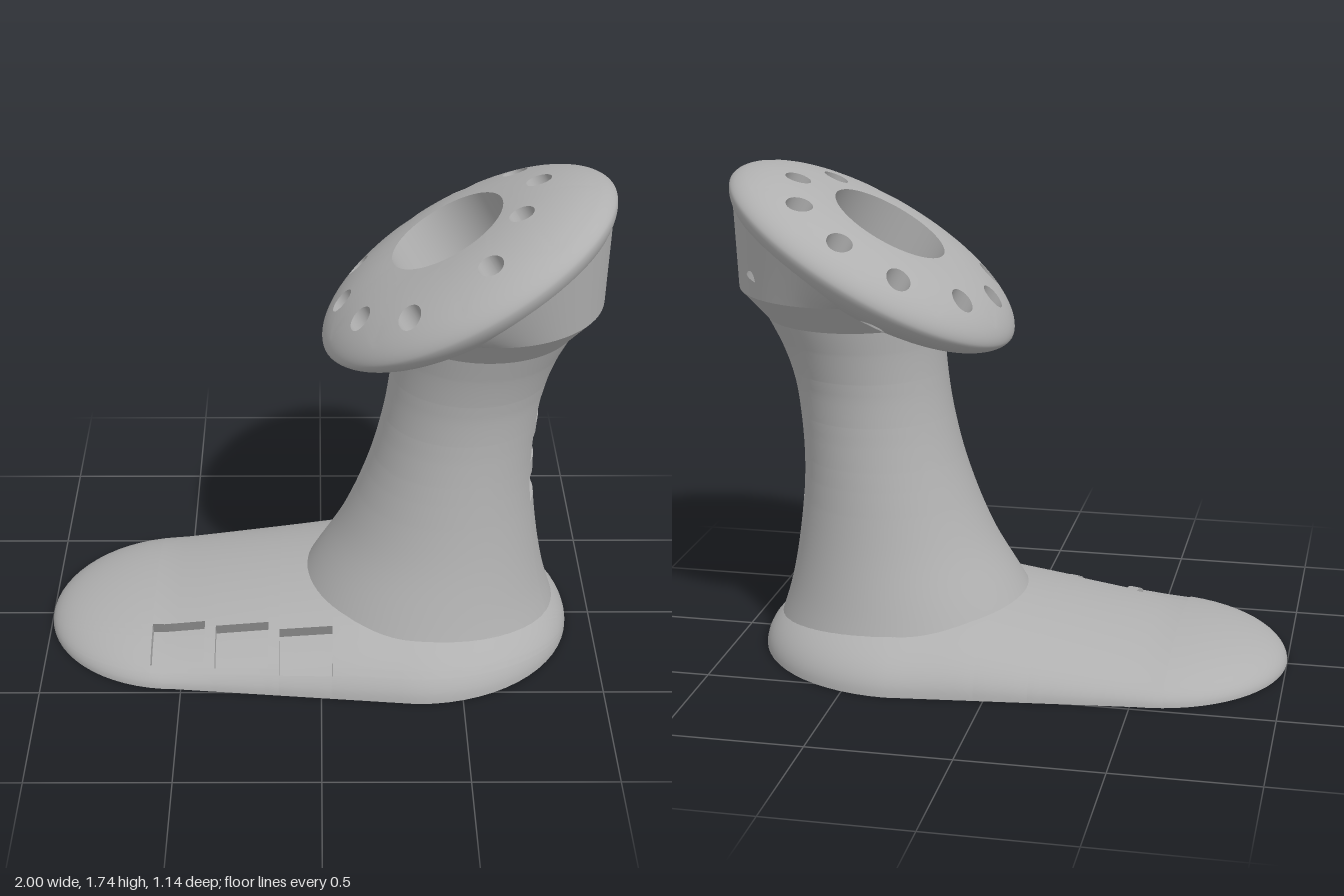
import * as THREE from 'three';
import { mergeVertices } from 'three/addons/utils/BufferGeometryUtils.js';

const grey = new THREE.MeshStandardMaterial({ color: 0xb0b0b0, side: THREE.DoubleSide });
grey.name = 'plain grey';

const steps = (a, b, n) => Array.from({ length: n + 1 }, (_, i) => a + (b - a) * i / n);
const sorted = list => list.sort((a, b) => a - b).filter((v, i, l) => !i || v - l[i - 1] > 1e-4);
const TAU = Math.PI * 2;

// One smooth mesh from grids of points; skip(grid, i, j) leaves cells open
function skin(name, grids, skip = () => false) {
  const pos = [], index = [];
  for (const rows of grids) {
    const base = pos.length / 3, m = rows[0].length;
    rows.forEach(r => r.forEach(p => pos.push(p[0], p[1], p[2])));
    for (let i = 0; i < rows.length - 1; i++) for (let j = 0; j < m - 1; j++) {
      if (skip(i, j)) continue;
      const a = base + i * m + j, b = a + 1, d = a + m, c = d + 1;
      index.push(a, b, c, a, c, d);
    }
  }
  let geo = new THREE.BufferGeometry();
  geo.setAttribute('position', new THREE.Float32BufferAttribute(pos, 3));
  geo.setIndex(index);
  geo = mergeVertices(geo, 1e-4);
  geo.computeVertexNormals();
  const mesh = new THREE.Mesh(geo, grey);
  mesh.name = name;
  return mesh;
}

// Surface S(u, v) with rectangular pockets [u0, u1, v0, v1] sunk along a direction
function pocketed(name, S, us, vs, pockets, sink) {
  const g = new THREE.Group();
  g.name = name;
  us = sorted([...us, ...pockets.flatMap(p => [p[0], p[1]])]);
  vs = sorted([...vs, ...pockets.flatMap(p => [p[2], p[3]])]);
  const inside = (u, v) => pockets.some(p => u > p[0] && u < p[1] && v > p[2] && v < p[3]);
  g.add(skin(name + 'Skin', [us.map(u => vs.map(v => S(u, v)))],
    (i, j) => inside((us[i] + us[i + 1]) / 2, (vs[j] + vs[j + 1]) / 2)));
  for (const [u0, u1, v0, v1] of pockets) {
    const pu = us.filter(u => u > u0 - 1e-3 && u < u1 + 1e-3);
    const pv = vs.filter(v => v > v0 - 1e-3 && v < v1 + 1e-3);
    const low = p => p.map((c, k) => c + sink[k]);
    g.add(skin('pocketFloor', [pu.map(u => pv.map(v => low(S(u, v))))]));
    const edges = [pu.map(u => S(u, v0)), pv.map(v => S(u1, v)),
      pu.map(u => S(u, v1)).reverse(), pv.map(v => S(u0, v)).reverse()];
    for (const e of edges) g.add(skin('pocketWall', [e.map(p => [p, low(p)])]));
  }
  return g;
}

// Base: long dome between two round ends
function makeBase() {
  const A = -0.52, B = 0.34, ra = 0.48, rb = 0.57;
  const end = x => x < A ? (x - A) / ra : x > B ? (x - B) / rb : 0;
  const round = x => Math.sqrt(Math.max(0, 1 - end(x) ** 2));
  const width = x => round(x) * THREE.MathUtils.lerp(ra, rb, THREE.MathUtils.clamp((x - A) / (B - A), 0, 1));
  const crest = x => round(x) * THREE.MathUtils.clamp(0.227 + 0.157 * x, 0.14, 0.245);
  const S = (x, f) => [x, crest(x) * Math.cos(f), width(x) * Math.sin(f)];
  const xs = [...steps(0, Math.PI / 2, 16).map(t => A - ra * Math.cos(t)), ...steps(A, B, 14),
    ...steps(0, Math.PI / 2, 16).map(t => B + rb * Math.sin(t))];
  const pockets = [[-0.61, -0.42, 0.25, 0.43], [-0.38, -0.19, 0.29, 0.46], [-0.15, 0.04, 0.34, 0.5]]
    .map(([x0, x1, z0, z1]) => {
      const w = width((x0 + x1) / 2);
      return [x0, x1, Math.asin(z0 / w), Math.asin(z1 / w)];
    });
  const g = pocketed('base', S, xs, steps(-Math.PI / 2, Math.PI / 2, 36), pockets, [0, -0.055, -0.03]);
  const xl = sorted([...xs]);
  g.add(skin('baseUnderside', [xl.map(x => [[x, 0, width(x)], [x, 0, -width(x)]])]));
  return g;
}

// Neck: leaning waisted column, rows of height, left x, right x, half depth
function makeNeck() {
  const rows = [[0.06, -0.14, 0.87, 0.46], [0.22, -0.05, 0.82, 0.405], [0.42, 0.07, 0.782, 0.345],
    [0.67, 0.17, 0.76, 0.298], [0.87, 0.22, 0.77, 0.276], [1, 0.24, 0.79, 0.277],
    [1.12, 0.25, 0.83, 0.295], [1.22, 0.25, 0.88, 0.32]];
  const curve = new THREE.CubicInterpolant(rows.map(r => r[0]), rows.flatMap(r => r.slice(1)), 3);
  const S = (t, y) => {
    const [l, r, d] = curve.evaluate(y);
    return [(l + r) / 2 + (r - l) / 2 * Math.cos(t), y, d * Math.sin(t)];
  };
  const pockets = [0.55, 0.71, 0.87, 1.03].map(y => [-0.34, 0.34, y, y + 0.1]);
  return pocketed('neck', S, steps(-0.34, TAU - 0.34, 72), steps(0.06, 1.22, 30), pockets, [-0.08, 0, 0]);
}

// Head: tilted rounded disc with a ring of bored holes and a central well
function makeHead() {
  const g = new THREE.Group();
  g.name = 'headDisc';
  const R = 0.568, K = 0.51 / R, FLAT = 0.2, EDGE = 0.53, WELL = 0.215;
  const h = (u, z) => {
    const t = THREE.MathUtils.clamp((Math.hypot(u, z / K) - FLAT) / (R - FLAT), 0, 1);
    return 0.14 * (1 - t * t) ** 0.58;
  };
  const inner = t => [WELL * Math.cos(t), -0.03 + WELL * Math.sin(t)];
  const outer = t => [EDGE * Math.cos(t), EDGE * K * Math.sin(t)];
  const mix = (t, s) => inner(t).map((c, k) => c + (outer(t)[k] - c) * s);
  const lift = side => ([u, z]) => [u, side * h(u, z), z];
  const holes = [[0.268, 0.125], [0.124, 0.34], [-0.188, 0.37], [-0.367, 0.21], [-0.436, 0],
    [-0.367, -0.22], [-0.159, -0.38], [0.072, -0.39], [0.268, -0.29], [0.349, -0.09]];
  const angle = holes.map(([u, z]) => (Math.atan2(z / K, u) + TAU) % TAU);
  const grids = [], angles = [];
  holes.forEach((c, k) => {
    const n = holes.length, a = angle[k];
    const prev = k ? angle[k - 1] : angle[n - 1] - TAU, next = k < n - 1 ? angle[k + 1] : angle[0] + TAU;
    const ts = steps((prev + a) / 2, (a + next) / 2, 12), ss = steps(0, 1, 8);
    angles.push(...ts.slice(k ? 1 : 0));
    // sector outline, walked around the hole
    const loop = [...ts.map(t => mix(t, 1)), ...ss.slice(0, -1).reverse().map(s => mix(ts[12], s)),
      ...ts.slice(0, -1).reverse().map(t => mix(t, 0)), ...ss.slice(1).map(s => mix(ts[0], s))];
    const rim = loop.map(([u, z]) => {
      const d = Math.hypot(u - c[0], z - c[1]);
      return [c[0] + 0.045 * (u - c[0]) / d, c[1] + 0.045 * (z - c[1]) / d];
    });
    for (const side of [1, -1]) {
      const rows = loop.map((p, i) => steps(0, 1, 6).map(s =>
        lift(side)([rim[i][0] + (p[0] - rim[i][0]) * s, rim[i][1] + (p[1] - rim[i][1]) * s])));
      grids.push(side > 0 ? rows.reverse() : rows);
    }
    // bore: open through the lip, blind where the body lies behind
    const blind = c[0] > 0.1;
    g.add(skin('holeWall', [rim.map(p => [blind ? [p[0], -0.2, p[1]] : lift(-1)(p), lift(1)(p)]).reverse()]));
    if (blind) {
      const cap = new THREE.Mesh(new THREE.CircleGeometry(0.045, 24).rotateX(-Math.PI / 2), grey);
      cap.name = 'holeFloor';
      cap.position.set(c[0], -0.2, c[1]);
      g.add(cap);
    }
  });
  // rounded outer edge
  const bend = steps(-1, 1, 16).map(v => {
    const r = EDGE + (R - EDGE) * (1 - v * v);
    return [r, Math.sign(v) * h(r, 0)];
  });
  grids.push(angles.map(t => bend.map(([r, y]) => [r * Math.cos(t), y, r * K * Math.sin(t)])));
  g.add(skin('discSkin', grids));
  g.add(skin('wellWall', [angles.map(t => [[inner(t)[0], -0.27, inner(t)[1]], lift(1)(inner(t))]).reverse()]));
  const floor = new THREE.Mesh(new THREE.CircleGeometry(WELL, 64).rotateX(-Math.PI / 2), grey);
  floor.name = 'wellFloor';
  floor.position.set(0, -0.27, -0.03);
  g.add(floor);
  g.rotation.z = Math.PI / 6;
  g.position.set(0.5, 1.43, 0);
  return g;
}

// Body under the disc: chamfer from the neck, then a wall up to the disc rim
function makeHeadBody() {
  const g = new THREE.Group();
  g.name = 'headBody';
  const ts = steps(0, TAU, 72), c30 = Math.cos(Math.PI / 6);
  const low = t => [0.565 + 0.315 * Math.cos(t), 1.22, 0.32 * Math.sin(t)];
  const mid = t => [0.58 + 0.395 * Math.cos(t), 1.33, 0.42 * Math.sin(t)];
  const top = t => [0.5 + 0.562 * c30 * Math.cos(t), 1.43 + 0.281 * Math.cos(t), 0.505 * Math.sin(t)];
  const loft = (a, b) => ts.map(t => steps(0, 1, 6).map(s => a(t).map((c, k) => c + (b(t)[k] - c) * s)));
  g.add(skin('bodyChamfer', [loft(low, mid)]), skin('bodyWall', [loft(mid, top)]));
  return g;
}

export function createModel() {
  const model = new THREE.Group();
  model.name = 'pedestalHolder';
  model.add(makeBase(), makeNeck(), makeHeadBody(), makeHead());
  return model;
}
